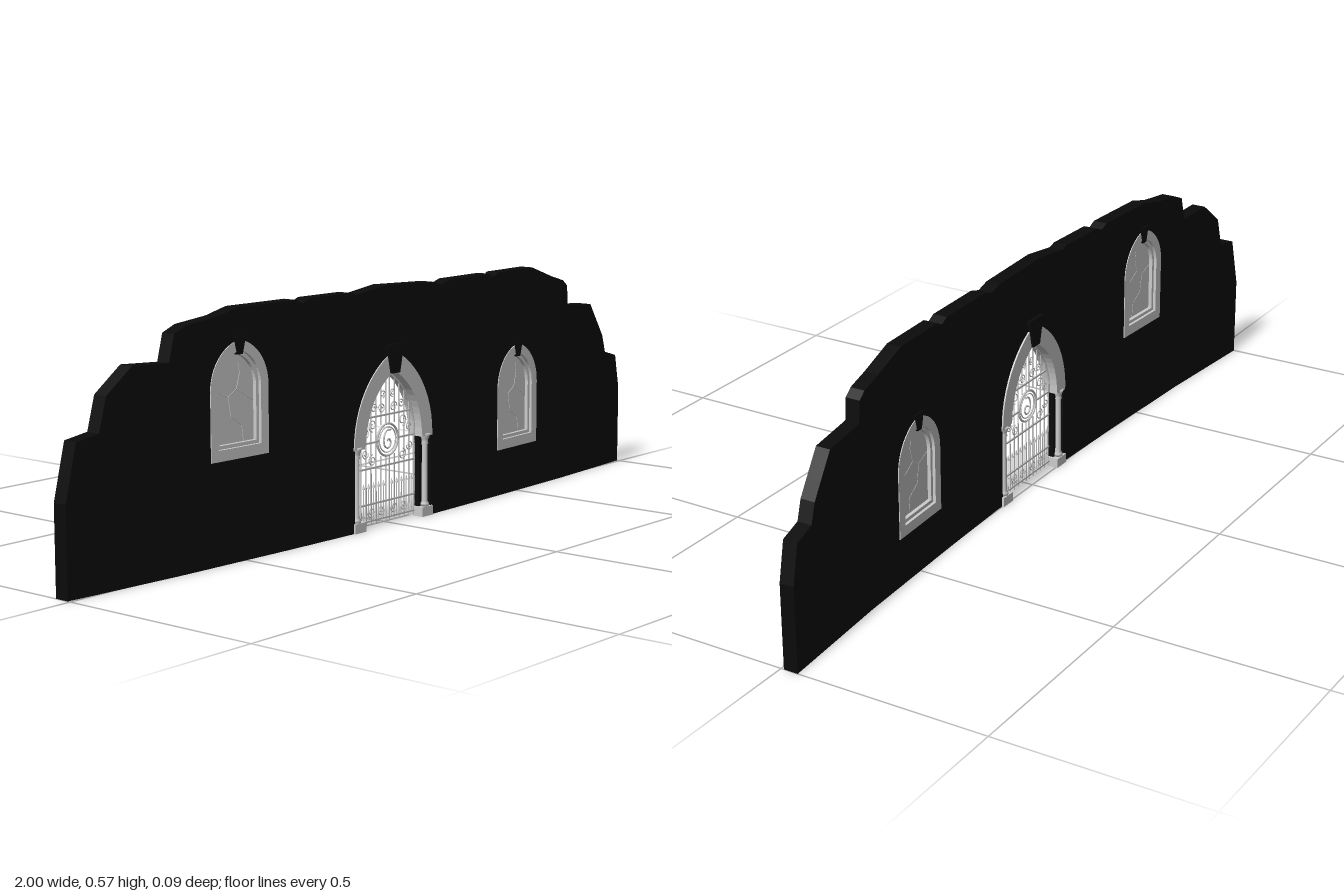
import * as THREE from 'three';

const stone = new THREE.MeshStandardMaterial({ color: 0xcccccc });
const dark = new THREE.MeshStandardMaterial({ color: 0x0b0b0b });
const V = (x, y, z = 0) => new THREE.Vector3(x, y, z);

// Broken top edge of the wall, left to right
const TOP = [[-1, .2], [-.97, .325], [-.91, .335], [-.89, .41], [-.82, .465], [-.72, .46], [-.705, .52],
  [-.67, .535], [-.58, .545], [-.52, .56], [-.34, .56], [-.32, .55], [-.295, .56], [-.16, .56], [-.14, .554],
  [-.04, .567], [.14, .56], [.175, .55], [.21, .56], [.37, .56], [.39, .55], [.41, .56], [.56, .56], [.65, .53],
  [.705, .515], [.725, .5], [.73, .45], [.845, .44], [.885, .385], [.91, .35], [.925, .305], [.98, .29], [1, .2]];
// Plan of the wall: distance from the middle, setback
const PLAN = [[0, 0], [.16, 0], [.38, -.007], [.7, -.021], [1, -.043]];

function lerpTable(table, x) {
  let i = 1;
  while (i < table.length - 1 && x > table[i][0]) i++;
  const [a, b] = [table[i - 1], table[i]];
  return a[1] + (b[1] - a[1]) * (x - a[0]) / (b[0] - a[0]);
}

// Sets a geometry back along the bent plan of the wall
function bend(geo) {
  const p = geo.attributes.position;
  for (let i = 0; i < p.count; i++) p.setZ(i, p.getZ(i) + lerpTable(PLAN, Math.abs(p.getX(i))));
  geo.computeVertexNormals();
  return geo;
}

function add(parent, name, geo, mat = stone, x = 0, y = 0, z = 0) {
  const m = new THREE.Mesh(geo, mat);
  m.name = name;
  m.position.set(x, y, z);
  parent.add(m);
  return m;
}

function slab(points, z0, z1, holes = []) {
  const shape = new THREE.Shape(points);
  shape.holes = holes.map(h => new THREE.Path(h));
  const geo = new THREE.ExtrudeGeometry(shape, { depth: z1 - z0, bevelEnabled: false });
  return geo.translate(0, 0, z0);
}

// Pointed arch curve from the right springing over the apex to the left
function archCurve(w, spring, h, n = 12) {
  const R = (w * w + h * h) / (2 * w), end = Math.atan2(h, R - w), right = [];
  for (let i = 0; i <= n; i++) {
    const a = end * i / n;
    right.push(new THREE.Vector2(w - R + R * Math.cos(a), spring + R * Math.sin(a)));
  }
  return [...right, ...right.slice(0, -1).reverse().map(p => new THREE.Vector2(-p.x, p.y))];
}
const archOutline = (w, base, spring, h) =>
  [new THREE.Vector2(-w, base), new THREE.Vector2(w, base), ...archCurve(w, spring, h)];
const shift = (pts, x, y) => pts.map(p => new THREE.Vector2(p.x + x, p.y + y));
const wedge = (bottom, top, y0, y1) =>
  [[-bottom, y0], [bottom, y0], [top, y1], [-top, y1]].map(p => new THREE.Vector2(...p));

const DOOR_X = -.007;
const WINDOWS = [[-.517, .23], [.497, .115]];

function buildWall() {
  const wall = new THREE.Group();
  wall.name = 'wall';
  const knots = [-1, -.7, -.38, -.16, .16, .38, .7, 1];
  for (let i = 0; i < knots.length - 1; i++) {
    const [a, b] = [knots[i], knots[i + 1]];
    const outline = [new THREE.Vector2(a, 0)];
    if (a < 0 && b > 0) outline.push(...shift([new THREE.Vector2(-.14, 0),
      ...archCurve(.14, .2, .205).reverse(), new THREE.Vector2(.14, 0)], DOOR_X, 0));
    outline.push(new THREE.Vector2(b, 0), new THREE.Vector2(b, lerpTable(TOP, b)));
    TOP.filter(p => p[0] > a + .001 && p[0] < b - .001).reverse()
      .forEach(p => outline.push(new THREE.Vector2(...p)));
    outline.push(new THREE.Vector2(a, lerpTable(TOP, a)));
    const holes = WINDOWS.filter(w => w[0] > a && w[0] < b)
      .map(w => shift(archOutline(.083, .004, .155, .1), ...w));
    add(wall, 'wallSection', bend(slab(outline, .001, .036, holes)), dark);
  }
  return wall;
}

function buildWindow(x, y) {
  const win = new THREE.Group();
  win.name = 'window';
  const place = geo => bend(geo.translate(x, y, 0));
  const inner = archOutline(.064, .025, .155, .082), step = archOutline(.056, .033, .155, .073);
  add(win, 'windowFrame', place(slab(archOutline(.087, 0, .155, .105), -.001, .038, [inner])));
  add(win, 'innerFrame', place(slab(inner, .006, .031, [step])));
  add(win, 'pane', place(slab(step, .015, .022)));
  add(win, 'keystone', place(slab(wedge(.008, .018, .228, .268), -.003, .04)), dark);
  // Cracks across both faces of the pane
  const cracks = [[[-.056, .15], [-.02, .135], [.005, .15], [.056, .12]],
    [[-.02, .135], [-.012, .09], [.02, .07], [.025, .033]], [[.005, .15], [.015, .185], [.01, .21]]];
  for (const z of [.015, .022]) for (const c of cracks) for (let i = 1; i < c.length; i++) {
    const line = new THREE.LineCurve3(V(...c[i - 1], z), V(...c[i], z));
    add(win, 'crack', place(new THREE.TubeGeometry(line, 1, .0007, 4)));
  }
  return win;
}

function buildDoorway() {
  const door = new THREE.Group();
  door.name = 'doorway';
  // Ring of the arch above the springing
  const ring = [...archCurve(.143, .2, .212), ...archCurve(.103, .2, .165).reverse()];
  add(door, 'archSurround', slab(ring, -.003, .039));
  add(door, 'keystone', slab(wedge(.015, .03, .36, .428), -.008, .044), dark);
  for (const s of [-1, 1]) {
    add(door, 'jamb', new THREE.BoxGeometry(.032, .2, .014), dark, s * .126, .1, .018);
    add(door, 'base', new THREE.BoxGeometry(.04, .023, .046), stone, s * .124, .0115, .018);
    for (const z of [.007, .029]) {
      const profile = [[0, .023], [.011, .023], [.011, .03], [.0075, .035], [.007, .172], [.0095, .175],
        [.0075, .179], [.009, .186], [.0125, .194], [.0125, .2], [0, .2]].map(p => new THREE.Vector2(...p));
      add(door, 'column', new THREE.LatheGeometry(profile, 12), stone, s * .126, 0, z);
    }
    add(door, 'capital', new THREE.BoxGeometry(.038, .008, .04), stone, s * .125, .198, .018);
  }
  return door;
}

function buildGate() {
  const gate = new THREE.Group();
  gate.name = 'gate';
  const Z = .018;
  const rod = (name, pts, r = .0016, n = 24) =>
    add(gate, name, new THREE.TubeGeometry(new THREE.CatmullRomCurve3(pts), n, r, 5));
  const spiral = (cx, cy, r, start, turn) => Array.from({ length: 15 }, (_, i) => {
    const a = start + turn * i / 14 * Math.PI * 3, k = r * (1 - i / 18);
    return V(cx + k * Math.cos(a), cy + k * Math.sin(a), Z);
  });
  // Height of the arch underside at a distance from the middle
  const under = archCurve(.1, .2, .158).slice(0, 13).map(p => [p.x, p.y]).reverse();
  for (const s of [-1, 1]) {
    // Bars, the ones near the middle stopping at the medallion
    for (let i = 0; i < 6; i++) {
      const x = .006 + i * .0182, top = lerpTable(under, x);
      const spans = x < .038 ? [[.006, .164], [.238, top]] : [[.006, top]];
      for (const [y0, y1] of spans)
        add(gate, 'bar', new THREE.CylinderGeometry(.0019, .0019, y1 - y0, 6), stone, s * x, (y0 + y1) / 2, Z);
      if (i < 5) {
        const xm = x + .0091;
        add(gate, 'shortBar', new THREE.CylinderGeometry(.0013, .0013, .08, 5), stone, s * xm, .055, Z);
        add(gate, 'spearTip', new THREE.ConeGeometry(.004, .014, 6), stone, s * xm, .1, Z);
      }
    }
    // Rails
    for (const [y, inner] of [[.015, 0], [.055, 0], [.14, 0], [.2, .038], [.26, 0]]) {
      const outer = y > .2 ? .084 : .1;
      add(gate, 'rail', new THREE.BoxGeometry(outer - inner, .004, .004), stone, s * (outer + inner) / 2, y, Z);
    }
    // Scrolls, mirrored on both leaves
    for (const [x, y, r, start, turn] of [[.055, .158, .014, 1.6, -1], [.082, .176, .012, 3.1, 1],
      [.055, .24, .015, 4.7, 1], [.08, .222, .011, 1.6, 1], [.022, .276, .013, 0, 1], [.05, .28, .011, 3.1, -1],
      [.024, .035, .013, 3.1, 1], [.06, .035, .013, 0, -1], [.018, .31, .01, 4.7, -1]])
      rod('scroll', spiral(x, y, r, start, turn).map(p => V(s * p.x, p.y, p.z)), .0014, 36);
  }
  rod('gateArch', archCurve(.1, .2, .158, 8).map(p => V(p.x, p.y, Z)), .0028, 48);
  // Round medallion in the middle
  for (const [r, t] of [[.038, .0028], [.03, .0016]])
    add(gate, 'medallionRing', new THREE.TorusGeometry(r, t, 6, 36), stone, 0, .2, Z);
  rod('medallionScroll', [V(.012, .222, Z), V(-.004, .221, Z), V(-.013, .203, Z), V(-.009, .184, Z),
    V(.004, .18, Z), V(.012, .19, Z), V(.006, .201, Z), V(-.004, .197, Z)], .0022, 36);
  return gate;
}

export function createModel() {
  const model = new THREE.Group();
  model.name = 'ruinedWall';
  model.add(buildWall());
  for (const [x, y] of WINDOWS) model.add(buildWindow(x, y));
  for (const part of [buildDoorway(), buildGate()]) {
    part.position.x = DOOR_X;
    model.add(part);
  }
  return model;
}
